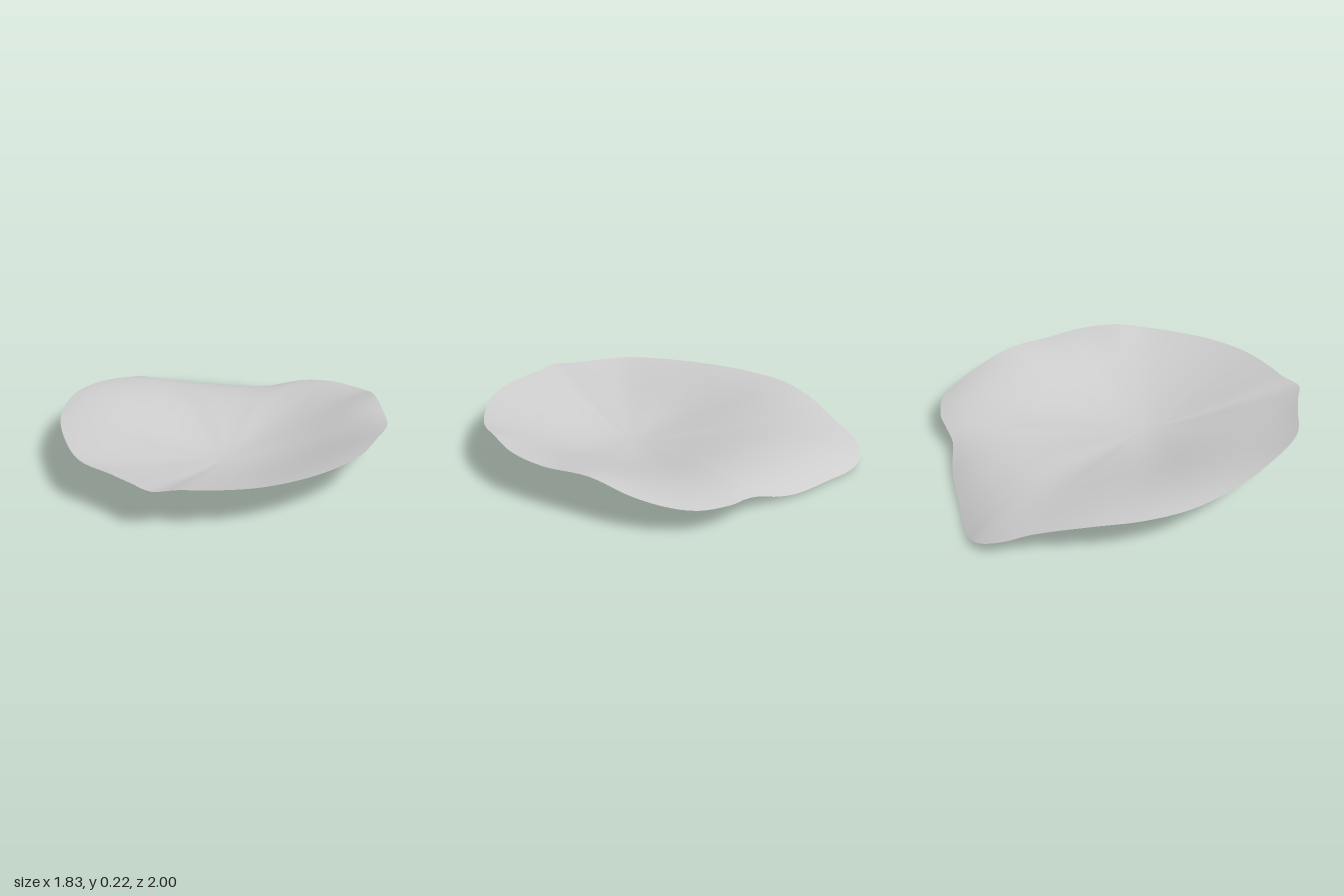
import * as THREE from 'three';

// Rim of the petal: x, z, height; from the front tip round the left side to the back
const RIM = [
  [-0.06, 1.0, 0.2], [0.05, 0.955, 0.2], [0.2, 0.92, 0.2], [0.4, 0.84, 0.2],
  [0.58, 0.7, 0.2], [0.72, 0.53, 0.2], [0.82, 0.36, 0.207], [0.88, 0.17, 0.228],
  [0.913, -0.05, 0.215], [0.88, -0.26, 0.205], [0.8, -0.52, 0.218], [0.72, -0.73, 0.17],
  [0.62, -0.88, 0.138], [0.52, -0.965, 0.125], [0.36, -1.0, 0.113], [0.25, -0.985, 0.1],
  [0.14, -0.965, 0.07], [0.02, -0.985, 0.038], [-0.1, -1.0, 0.02], [-0.35, -0.998, 0.012],
  [-0.55, -0.995, 0.016], [-0.66, -0.96, 0.045], [-0.74, -0.86, 0.09], [-0.78, -0.7, 0.135],
  [-0.86, -0.45, 0.185], [-0.913, -0.2, 0.205], [-0.9, 0.04, 0.205], [-0.83, 0.27, 0.208],
  [-0.7, 0.52, 0.21], [-0.5, 0.78, 0.208], [-0.3, 0.88, 0.204], [-0.18, 0.94, 0.2],
];
// Heights one third and two thirds of the way out, every 30 degrees from +x towards +z
const INNER = [0.035, 0.035, 0.04, 0.045, 0.05, 0.055, 0.055, 0.06, 0.06, 0.042, 0.04, 0.038];
const OUTER = [0.125, 0.115, 0.115, 0.12, 0.12, 0.14, 0.155, 0.155, 0.115, 0.102, 0.125, 0.13];
const LOW = { x: 0.05, y: 0.005, z: 0.1 }; // lowest point of the bowl
const SEGMENTS = 192;
const RINGS = 28;

// Smooth periodic interpolation of a ring of values
function around(values, angle) {
  const n = values.length;
  const t = ((angle / (2 * Math.PI)) * n + n) % n;
  const i = Math.floor(t), f = t - i;
  const [a, b, c, d] = [-1, 0, 1, 2].map((k) => values[(i + k + n) % n]);
  return b + 0.5 * f * (c - a + f * (2 * a - 5 * b + 4 * c - d + f * (3 * (b - c) + d - a)));
}

// Height along a spoke: level at the bowl's bottom, passing through the three given heights
function spokeHeight(s, inner, outer, rim) {
  const p = (inner - LOW.y) * 9, q = (outer - LOW.y) * 2.25, r = rim - LOW.y;
  const u = 3 * s;
  const g = (p * (u - 2) * (u - 3)) / 2 - q * (u - 1) * (u - 3) + (r * (u - 1) * (u - 2)) / 2;
  return LOW.y + s * s * g;
}

function petalGeometry() {
  const rim = new THREE.CatmullRomCurve3(
    RIM.map(([x, z, y]) => new THREE.Vector3(x, y, z)), true, 'centripetal');
  const spokes = [];
  for (let i = 0; i < SEGMENTS; i++) {
    const p = rim.getPoint(i / SEGMENTS);
    const angle = Math.atan2(p.z - LOW.z, p.x - LOW.x);
    spokes.push({ p, inner: around(INNER, angle), outer: around(OUTER, angle) });
  }

  const positions = [LOW.x, LOW.y, LOW.z];
  const indices = [];
  for (let ring = 1; ring <= RINGS; ring++) {
    const s = ring / RINGS;
    const start = 1 + (ring - 1) * SEGMENTS;
    spokes.forEach(({ p, inner, outer }, i) => {
      positions.push(
        LOW.x + (p.x - LOW.x) * s,
        spokeHeight(s, inner, outer, p.y),
        LOW.z + (p.z - LOW.z) * s);
      const a = start + i, b = start + ((i + 1) % SEGMENTS);
      if (ring === 1) indices.push(0, a, b);
      else indices.push(a - SEGMENTS, a, b, a - SEGMENTS, b, b - SEGMENTS);
    });
  }

  const geometry = new THREE.BufferGeometry();
  geometry.setAttribute('position', new THREE.Float32BufferAttribute(positions, 3));
  geometry.setIndex(indices);
  geometry.computeVertexNormals();
  return geometry;
}

export function createModel() {
  const group = new THREE.Group();
  // Thin cupped petal with a drooping back lip
  const petal = new THREE.Mesh(
    petalGeometry(),
    new THREE.MeshStandardMaterial({ color: 0xcccccc, side: THREE.DoubleSide }));
  petal.name = 'petal';
  group.add(petal);
  return group;
}
